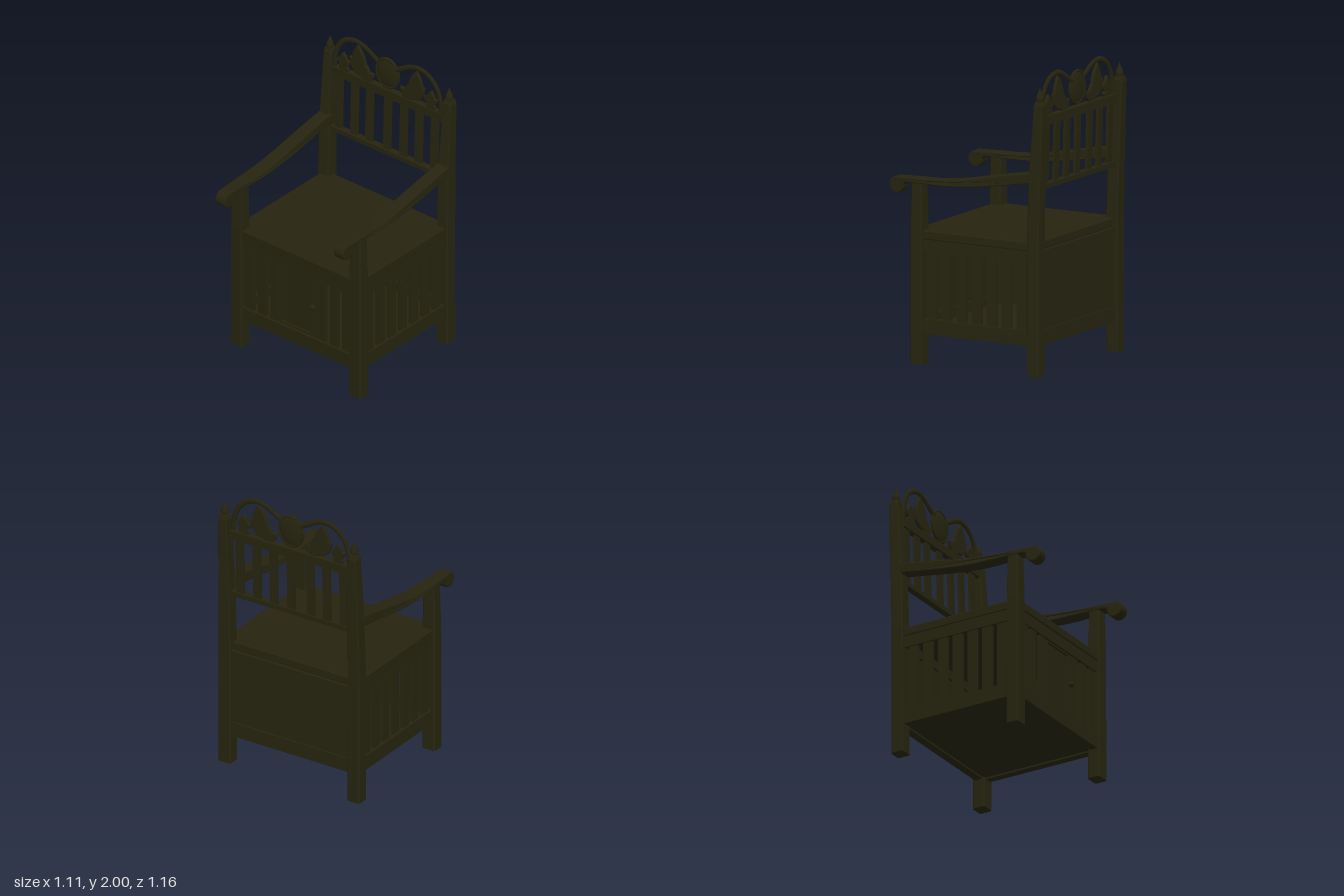
import * as THREE from 'three';
import { RoundedBoxGeometry } from 'three/addons/geometries/RoundedBoxGeometry.js';

export function createModel() {
  const chair = new THREE.Group();
  chair.name = 'armchair';
  const wood = new THREE.MeshStandardMaterial({ color: 0x26240f });
  wood.name = 'dark stained wood';

  const add = (name, geometry, x = 0, y = 0, z = 0) => {
    const mesh = new THREE.Mesh(geometry, wood);
    mesh.name = name;
    mesh.position.set(x, y, z);
    chair.add(mesh);
    return mesh;
  };
  // box given by its limits on each axis
  const box = (name, x0, x1, y0, y1, z0, z1) =>
    add(name, new THREE.BoxGeometry(x1 - x0, y1 - y0, z1 - z0), (x0 + x1) / 2, (y0 + y1) / 2, (z0 + z1) / 2);

  // post lofted through sections [y, x centre, z centre, width, depth], with chamfered corners
  const post = (name, side, sections) => {
    const c = 0.1;
    const corners = [[-.5 + c, -.5], [.5 - c, -.5], [.5, -.5 + c], [.5, .5 - c],
      [.5 - c, .5], [-.5 + c, .5], [-.5, .5 - c], [-.5, -.5 + c]];
    const points = [], index = [], n = corners.length;
    for (const [y, x, z, w, d] of sections)
      for (const [u, v] of corners) points.push(side * x + u * w, y, z + v * d);
    for (let s = 0; s < sections.length - 1; s++)
      for (let i = 0; i < n; i++) {
        const a = s * n + i, b = s * n + (i + 1) % n;
        index.push(a, a + n, b, b, a + n, b + n);
      }
    const top = (sections.length - 1) * n;
    for (let i = 1; i < n - 1; i++) index.push(0, i, i + 1, top, top + i + 1, top + i);
    const g = new THREE.BufferGeometry();
    g.setAttribute('position', new THREE.Float32BufferAttribute(points, 3));
    g.setIndex(index);
    const flat = g.toNonIndexed();
    flat.computeVertexNormals();
    add(name, flat);
  };

  // armrest side profile: u runs forward, v runs up
  const armShape = new THREE.Shape();
  armShape.moveTo(-0.5, 1.285);
  armShape.bezierCurveTo(-0.25, 1.25, -0.05, 1.2, 0.2, 1.2);
  armShape.lineTo(0.44, 1.2);
  armShape.bezierCurveTo(0.465, 1.2, 0.475, 1.19, 0.477, 1.175);
  armShape.absarc(0.53, 1.178, 0.054, Math.PI, Math.PI * 2.5, false);
  armShape.lineTo(0.35, 1.237);
  armShape.bezierCurveTo(0.05, 1.23, -0.1, 1.3, -0.5, 1.358);

  const finial = new THREE.LatheGeometry(
    [[0, 0], [.034, 0], [.036, .012], [.02, .022], [.02, .03], [.028, .045], [.022, .07], [.009, .1], [0, .125]]
      .map(([r, y]) => new THREE.Vector2(r, y)), 12);

  for (const side of [-1, 1]) {
    post('frontLeg', side, [[0, .505, .375, .1, .09], [.9, .505, .375, .1, .088], [1.215, .505, .373, .085, .078]]);
    post('backPost', side, [[0, .507, -.51, .096, .092], [.9, .507, -.51, .096, .09],
      [1.35, .507, -.521, .084, .088], [1.8, .508, -.546, .07, .07], [1.83, .508, -.546, .055, .055]]);
    add('finial', finial, side * 0.508, 1.8, -0.542);

    // armrest, broadest a little ahead of its middle
    const g = new THREE.ExtrudeGeometry(armShape, {
      depth: 0.08, bevelEnabled: true, bevelThickness: 0.01, bevelSize: 0.008, bevelOffset: -0.008, bevelSegments: 2, curveSegments: 14,
    });
    g.translate(0, 0, -0.04);
    g.rotateY(-Math.PI / 2);
    const p = g.attributes.position;
    for (let i = 0; i < p.count; i++) {
      const z = p.getZ(i);
      p.setX(i, p.getX(i) * (z > 0.2 ? 1.05 - (z - 0.2) * 0.65 : 1.05 - (0.2 - z) * 0.2));
    }
    g.computeVertexNormals();
    add('armrest', g, side * 0.505, 0, 0);

    // side frame with open slats
    const rail = (name, y0, y1, inner, outer) =>
      box(name, Math.min(side * inner, side * outer), Math.max(side * inner, side * outer), y0, y1, -0.48, 0.35);
    rail('sideUpperRail', 0.75, 0.83, 0.485, 0.53);
    rail('sideLowerRail', 0.2, 0.3, 0.48, 0.535);
    for (let i = 0; i < 7; i++)
      add('sideSlat', new THREE.BoxGeometry(0.022, 0.47, 0.072), side * 0.508, 0.525, 0.275 - i * 0.1135);
  }

  // seat and box frame
  add('seat', new RoundedBoxGeometry(1.07, 0.06, 0.93, 2, 0.008), 0, 0.86, -0.055);
  box('frontUpperRail', -0.47, 0.47, 0.75, 0.83, 0.36, 0.402);
  box('frontLowerRail', -0.47, 0.47, 0.2, 0.3, 0.355, 0.407);
  box('backUpperRail', -0.47, 0.47, 0.77, 0.83, -0.537, -0.49);
  box('backLowerRail', -0.47, 0.47, 0.2, 0.3, -0.537, -0.48);
  box('backPanel', -0.47, 0.47, 0.28, 0.79, -0.526, -0.505);
  box('floorPanel', -0.49, 0.49, 0.212, 0.235, -0.5, 0.37);

  // front slats either side of the door
  for (const side of [-1, 1])
    for (const x of [0.2, 0.305, 0.41])
      add('frontSlat', new THREE.BoxGeometry(0.068, 0.47, 0.022), side * x, 0.525, 0.38);

  // door with recessed panel and knob
  box('doorPanel', -0.15, 0.16, 0.305, 0.745, 0.368, 0.38);
  box('doorLeftStile', -0.152, -0.138, 0.305, 0.745, 0.368, 0.394);
  box('doorRightStile', 0.115, 0.162, 0.305, 0.745, 0.368, 0.394);
  box('doorTopEdge', -0.15, 0.12, 0.733, 0.745, 0.368, 0.394);
  box('doorBottomEdge', -0.15, 0.12, 0.305, 0.32, 0.368, 0.394);
  add('doorKnob', new THREE.SphereGeometry(0.02, 16, 10), 0.138, 0.535, 0.403);

  // backrest: rails and leaning slats
  box('backrestLowerRail', -0.48, 0.48, 1.235, 1.268, -0.538, -0.492);
  box('backrestUpperRail', -0.48, 0.48, 1.66, 1.72, -0.55, -0.505);
  for (const x of [-0.412, -0.28, -0.153, 0, 0.137, 0.267, 0.4]) {
    const slat = add('backrestSlat', new THREE.BoxGeometry(0.057, 0.43, 0.02), x, 1.463, -0.522);
    slat.rotation.x = -0.028;
  }

  // crest: flattened scrolling band
  const half = [[.455, 1.715], [.447, 1.81], [.415, 1.895], [.35, 1.958], [.265, 1.98], [.19, 1.962], [.11, 1.918], [.05, 1.89]];
  const path = [...half.map(([x, y]) => [-x, y]), ...half.slice().reverse()];
  const band = new THREE.TubeGeometry(
    new THREE.CatmullRomCurve3(path.map(([x, y]) => new THREE.Vector3(x, y, 0))), 90, 0.019, 8);
  add('crestBand', band, 0, 0, -0.522).scale.z = 0.6;

  // crest medallion: domed oval with a rim
  const disc = add('medallion', new THREE.SphereGeometry(1, 32, 16), 0, 1.842, -0.522);
  disc.scale.set(0.092, 0.107, 0.02);
  const rim = add('medallionRim', new THREE.TorusGeometry(0.093, 0.009, 8, 36), 0, 1.842, -0.522);
  rim.scale.set(1, 1.15, 1.3);

  // carved leaves
  const leafShape = new THREE.Shape();
  leafShape.moveTo(0, 0);
  leafShape.bezierCurveTo(0.45, 0.05, 0.75, 0.5, 0, 1);
  leafShape.bezierCurveTo(-0.75, 0.5, -0.45, 0.05, 0, 0);
  const leafGeometry = new THREE.ExtrudeGeometry(leafShape, {
    depth: 0.012, bevelEnabled: true, bevelThickness: 0.006, bevelSize: 0.08, bevelOffset: -0.08, bevelSegments: 3, curveSegments: 10,
  });
  leafGeometry.translate(0, 0, -0.006);
  const leaf = (name, x, y, width, height, turn) => {
    for (const side of [-1, 1]) {
      const m = add(name, leafGeometry, side * x, y, -0.522);
      m.scale.set(width, height, 1);
      m.rotation.z = -side * turn;
    }
  };
  leaf('largeLeaf', 0.235, 1.745, 0.13, 0.215, 0.08);
  leaf('largeLeafLobe', 0.2, 1.745, 0.11, 0.16, 0.85);
  leaf('innerLeaf', 0.195, 1.715, 0.1, 0.12, -0.1);
  leaf('innerLeafTip', 0.19, 1.725, 0.07, 0.1, -0.9);
  leaf('smallLeaf', 0.37, 1.755, 0.07, 0.1, 0.05);
  leaf('smallLeaf', 0.37, 1.77, 0.06, 0.06, 1.1);
  leaf('smallLeaf', 0.37, 1.77, 0.06, 0.06, -1.1);
  leaf('smallLeafBase', 0.37, 1.71, 0.09, 0.065, 0);

  return chair;
}
